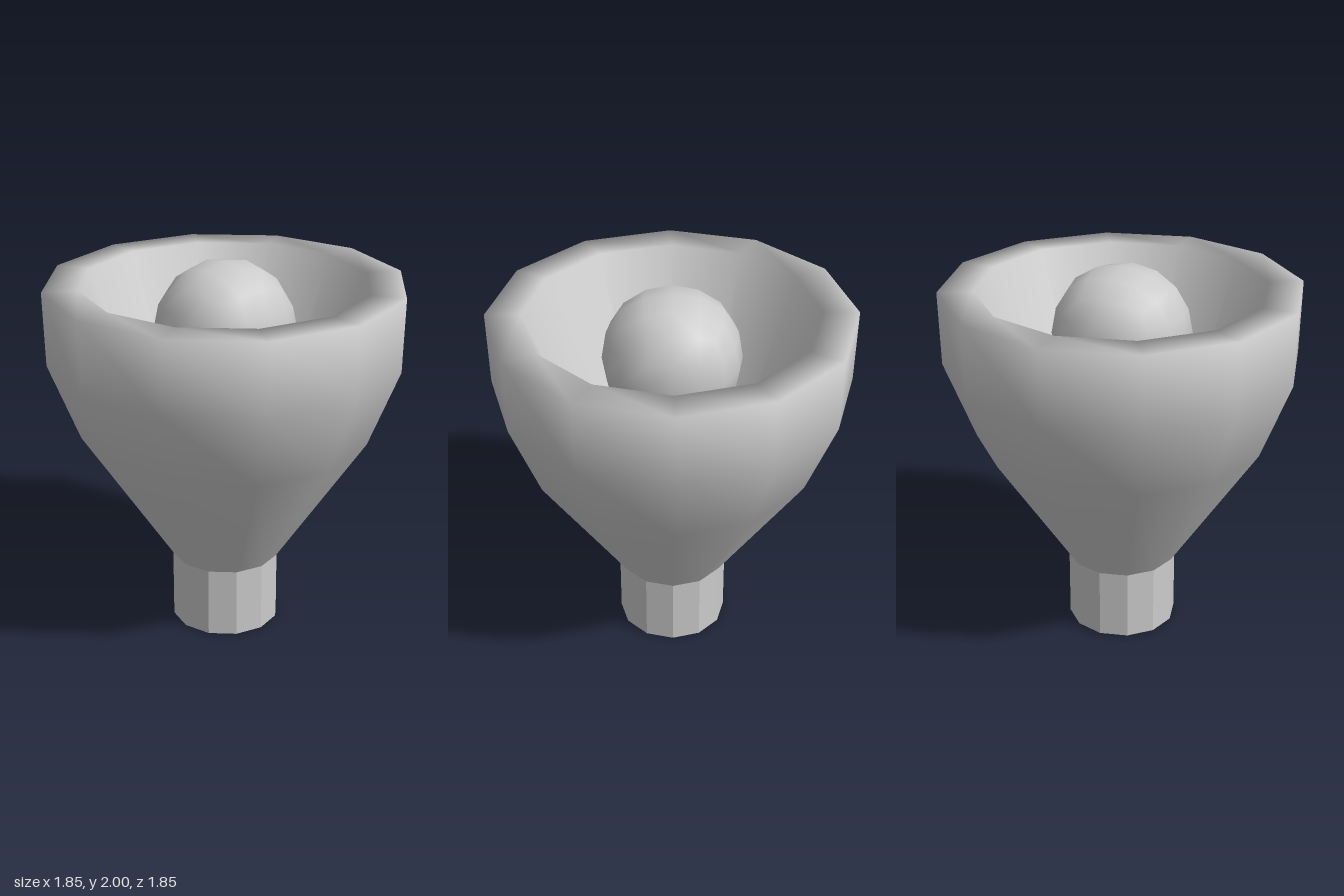
import * as THREE from 'three';
import { mergeVertices } from 'three/addons/utils/BufferGeometryUtils.js';

const material = (flatShading = false) =>
  new THREE.MeshStandardMaterial({ color: 0xcccccc, flatShading });

function addPart(group, name, geometry, y = 0, flat = false) {
  const mesh = new THREE.Mesh(geometry, material(flat));
  mesh.name = name;
  mesh.position.y = y;
  group.add(mesh);
}

// Ball made from a 4 x 4 x 4 cube rounded as by two subdivision steps.
// Each coordinate depends on its grid step and on the squares of the other two.
function roundedCube(scale) {
  const outer = { 0: 0.8785, 1: 0.8194, 2: 0.7639, 4: 0.643, 5: 0.599, 8: 0.509 };
  const middle = { 4: 0.3507, 5: 0.3264, 8: 0.302 };
  const box = new THREE.BoxGeometry(4, 4, 4, 4, 4, 4);
  box.deleteAttribute('normal');
  box.deleteAttribute('uv');
  const geometry = mergeVertices(box);
  const pos = geometry.attributes.position;
  for (let i = 0; i < pos.count; i++) {
    const p = [pos.getX(i), pos.getY(i), pos.getZ(i)].map(Math.round);
    const sum = p.reduce((s, v) => s + v * v, 0);
    const moved = p.map((v) => {
      if (v === 0) return 0;
      const table = Math.abs(v) === 2 ? outer : middle;
      return Math.sign(v) * table[sum - v * v] * scale;
    });
    pos.setXYZ(i, ...moved);
  }
  geometry.computeVertexNormals();
  return geometry;
}

export function createModel() {
  const group = new THREE.Group();
  group.name = 'bowlLamp';

  // Faceted stem the bowl stands on
  addPart(group, 'stem', new THREE.CylinderGeometry(0.29, 0.29, 0.38, 12), 0.19, true);

  // Thick-walled flared bowl: up the outside, over the flat rim, down the conical inside
  const profile = [
    [0.29, 0.38], [0.76, 1.1], [0.918, 1.51], [0.925, 1.893],
    [0.745, 1.893], [0.2, 0.5], [0, 0.5],
  ].map(([r, y]) => new THREE.Vector2(r, y));
  addPart(group, 'bowl', new THREE.LatheGeometry(profile, 12));

  // Ball held in the middle of the bowl
  addPart(group, 'ball', roundedCube(0.404), 1.645);

  return group;
}
